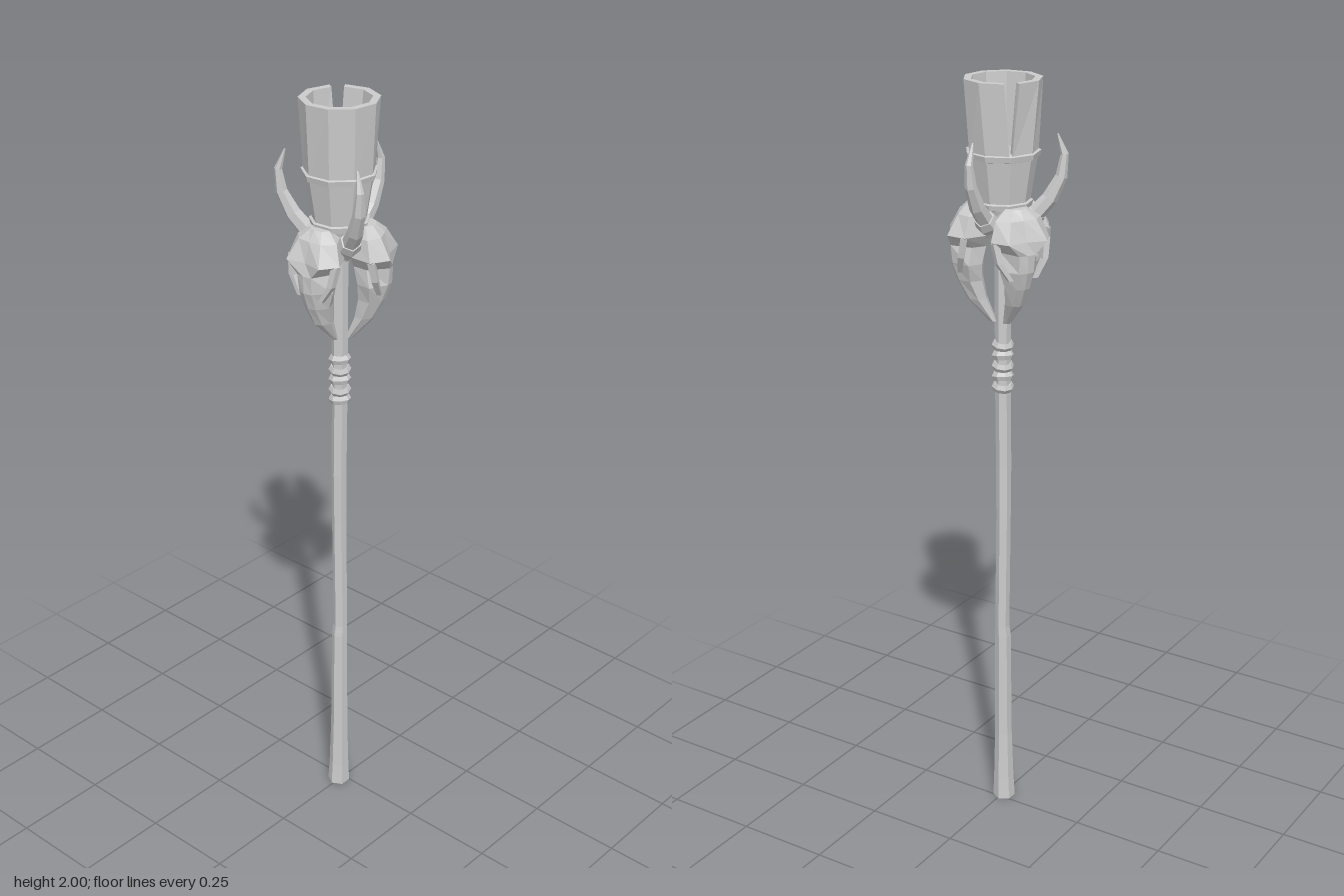
import * as THREE from 'three';

const material = new THREE.MeshStandardMaterial({ color: 0xcccccc, flatShading: true });
const V = (x, y, z) => new THREE.Vector3(x, y, z);

function part(name, geometry, parent) {
  const mesh = new THREE.Mesh(geometry, material);
  mesh.name = name;
  parent.add(mesh);
  return mesh;
}

// Skin a row of closed cross-sections, with a fan cap on both ends.
function loft(rings) {
  const tris = [];
  const n = rings[0].length;
  for (let i = 0; i < rings.length - 1; i++) {
    for (let j = 0; j < n; j++) {
      const k = (j + 1) % n;
      const a = rings[i][j], b = rings[i][k], c = rings[i + 1][k], d = rings[i + 1][j];
      tris.push([a, b, c], [a, c, d]);
    }
  }
  const last = rings[rings.length - 1];
  for (let j = 1; j < n - 1; j++) {
    tris.push([rings[0][0], rings[0][j + 1], rings[0][j]], [last[0], last[j], last[j + 1]]);
  }
  // Turn all faces outward, judged by the signed volume.
  const origin = rings[0][0];
  let volume = 0;
  for (const [a, b, c] of tris) {
    volume += a.clone().sub(origin).dot(b.clone().sub(origin).cross(c.clone().sub(origin)));
  }
  if (volume < 0) tris.forEach((t) => t.reverse());
  const geometry = new THREE.BufferGeometry().setFromPoints(tris.flat());
  geometry.computeVertexNormals();
  return geometry;
}

// Tapered limb in the local yz plane: steps are [y, z, radius].
function limb(steps, sides, x = () => 0) {
  return loft(steps.map(([y, z, r], i) => {
    const p = steps[Math.max(i - 1, 0)], q = steps[Math.min(i + 1, steps.length - 1)];
    const tangent = V(0, q[0] - p[0], q[1] - p[1]).normalize();
    const side = V(1, 0, 0), up = tangent.clone().cross(side);
    return Array.from({ length: sides }, (_, j) => {
      const a = (j + 0.5) / sides * Math.PI * 2;
      return V(x(i), y, z).addScaledVector(side, r * Math.cos(a)).addScaledVector(up, r * Math.sin(a));
    });
  }));
}

function lathe(points, sides) {
  return new THREE.LatheGeometry(points.map(([r, y]) => new THREE.Vector2(r, y)), sides);
}

// Horned-beast skull facing local +z; each section is
// [y, front half width, front corner z, front centre z, side half width, side z, back z].
function skull() {
  const group = new THREE.Group();
  group.name = 'skull';
  const sections = [
    [1.695, 0.018, 0.085, 0.09, 0.03, 0.07, 0.05],
    [1.672, 0.035, 0.108, 0.11, 0.062, 0.08, 0.04],
    [1.622, 0.052, 0.134, 0.124, 0.08, 0.09, 0.035],
    [1.59, 0.022, 0.128, 0.132, 0.045, 0.075, 0.04],
    [1.545, 0.02, 0.124, 0.13, 0.052, 0.083, 0.05],
    [1.5, 0.018, 0.108, 0.115, 0.036, 0.08, 0.05],
    [1.45, 0.015, 0.082, 0.09, 0.025, 0.06, 0.04],
    [1.39, 0.006, 0.03, 0.036, 0.012, 0.024, 0.016],
  ];
  part('cranium and snout', loft(sections.map(([y, fw, fz, cz, sw, sz, bz]) => [
    V(0, y, cz), V(fw, y, fz), V(sw, y, sz), V(sw * 0.6, y, bz),
    V(-sw * 0.6, y, bz), V(-sw, y, sz), V(-fw, y, fz),
  ])), group);
  // Cheekbones close the outer edge of the eye sockets.
  for (const s of [-1, 1]) {
    const xs = [0.07, 0.062, 0.034];
    part('cheekbone', limb([[1.62, 0.092, 0.012], [1.57, 0.1, 0.011], [1.525, 0.105, 0.008]], 4, (i) => s * xs[i]), group);
  }
  return group;
}

function horn() {
  const group = new THREE.Group();
  group.name = 'horn';
  part('horn core', limb([
    [1.63, 0.045, 0.024], [1.665, 0.08, 0.022], [1.705, 0.115, 0.02],
    [1.76, 0.143, 0.015], [1.815, 0.15, 0.01], [1.865, 0.133, 0.002],
  ], 6), group);
  part('horn collar', limb([[1.645, 0.055, 0.026], [1.657, 0.07, 0.031], [1.672, 0.084, 0.026]], 6), group);
  return group;
}

// Upper cup wall, swept around the axis and leaving a slit that widens upward.
function splitWall() {
  const slit = Math.PI * 1.25, sides = 9;
  const rings = [];
  for (let i = 0; i <= sides; i++) {
    const angle = (gap) => slit + gap + (Math.PI * 2 - 2 * gap) * i / sides;
    const at = (r, y, gap) => V(r * Math.sin(angle(gap)), y, r * Math.cos(angle(gap)));
    rings.push([at(0.087, 1.815, 0.03), at(0.098, 2, 0.19), at(0.079, 2, 0.19), at(0.069, 1.815, 0.03)]);
  }
  return loft(rings);
}

export function createModel() {
  const model = new THREE.Group();
  model.name = 'torch staff';
  const body = new THREE.Group();
  body.name = 'staff body';
  body.position.z = 0.014;
  model.add(body);

  // Uneven six-sided wooden shaft with a flared foot.
  const drift = [-0.004, -0.003, -0.001, 0, 0.001, -0.002, -0.001, 0, 0];
  part('shaft', limb([
    [0, 0.002, 0.03], [0.06, 0.002, 0.027], [0.2, 0.003, 0.023], [0.5, 0.002, 0.021],
    [0.53, 0, 0.019], [0.85, 0.001, 0.019], [1.0, 0.003, 0.02], [1.2, 0.001, 0.02], [1.66, 0, 0.022],
  ], 6, (i) => drift[i]), body);

  // Cord windings below the skulls.
  for (let i = 0; i < 5; i++) {
    const ring = part('cord winding', new THREE.TorusGeometry(0.0205, 0.0085, 5, 8), body);
    ring.scale.z = 1.4;
    ring.rotation.set(Math.PI / 2 + (i % 2 ? 0.14 : -0.1), i % 2 ? -0.12 : 0.15, 0);
    ring.position.y = 1.215 + i * 0.028;
  }

  // Fire cup: tapered bowl, split wall and two bands.
  part('bowl', lathe([[0, 1.6], [0.035, 1.6], [0.066, 1.69], [0.087, 1.82], [0.069, 1.82], [0.04, 1.73], [0, 1.72]], 9), body)
    .rotation.y = Math.PI * 1.25;
  part('split cup wall', splitWall(), body);
  for (const [y, r] of [[1.818, 0.085], [1.695, 0.066]]) {
    part('cup band', lathe([[r - 0.008, y - 0.012], [r + 0.006, y - 0.008], [r + 0.009, y + 0.006], [r - 0.008, y + 0.012]], 9), body)
      .rotation.y = Math.PI * 1.25;
  }

  // Three skulls with three horns between them.
  for (let i = 0; i < 3; i++) {
    const face = skull(), spike = horn();
    face.rotation.y = i * Math.PI * 2 / 3;
    spike.rotation.y = Math.PI / 3 + i * Math.PI * 2 / 3;
    body.add(face, spike);
  }
  return model;
}
